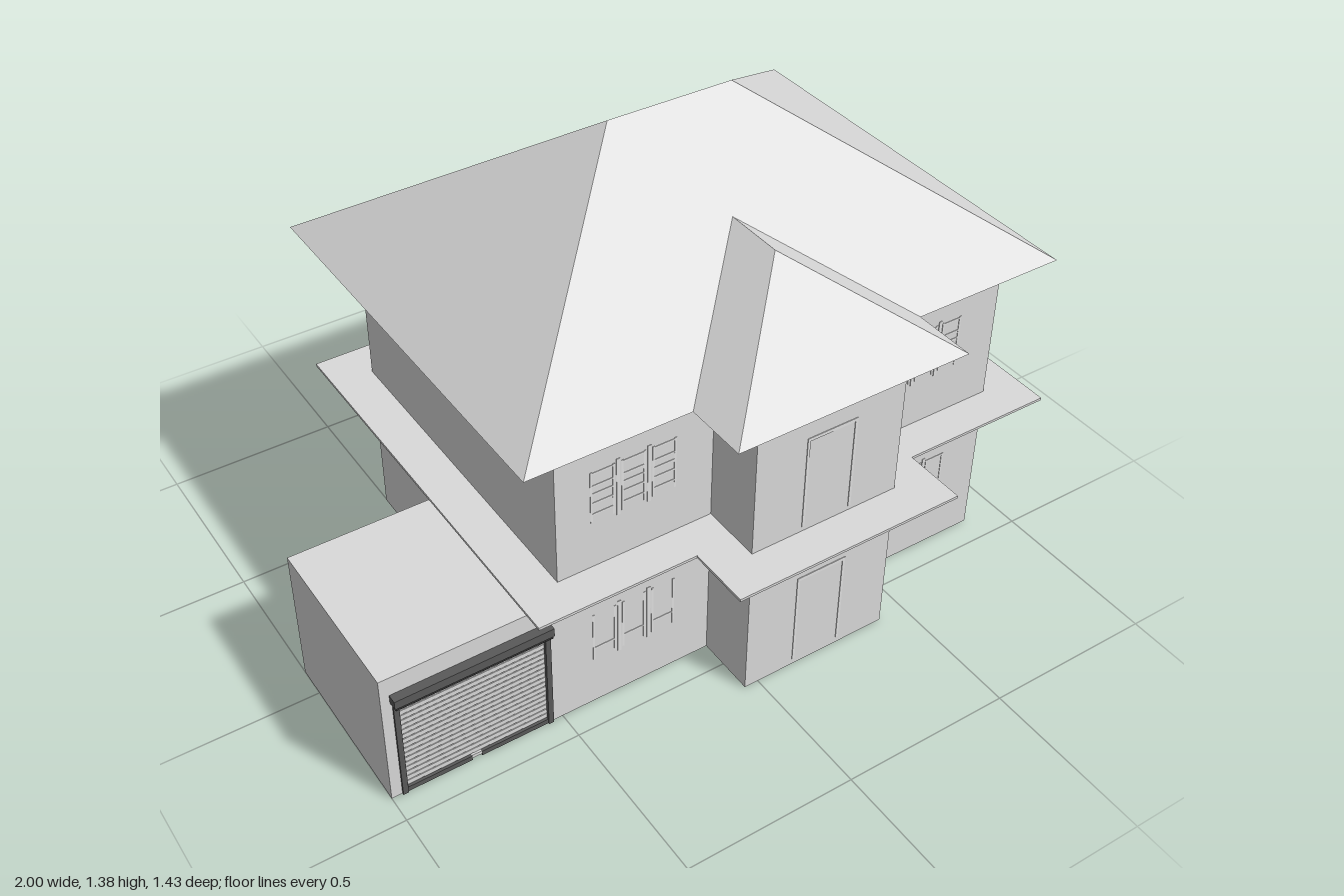
import * as THREE from 'three';

const mat = (name, color) => {
  const m = new THREE.MeshStandardMaterial({ color });
  m.name = name;
  return m;
};

export function createModel() {
  const house = new THREE.Group();
  house.name = 'house';
  const wall = mat('light grey plaster', 0xdadada);
  const joinery = mat('pale joinery', 0xe2e2e2);
  const frame = mat('dark grey frame', 0x5a5a5a);
  const black = mat('charcoal trim', 0x303030);

  const add = (parent, name, geometry, material) => {
    const mesh = new THREE.Mesh(geometry, material);
    mesh.name = name;
    parent.add(mesh);
    return mesh;
  };
  const group = (name) => {
    const g = new THREE.Group();
    g.name = name;
    house.add(g);
    return g;
  };
  // Box given by its lower and upper limits on each axis
  const box = (parent, name, [x0, x1], [y0, y1], [z0, z1], material) => {
    const mesh = add(parent, name, new THREE.BoxGeometry(x1 - x0, y1 - y0, z1 - z0), material);
    mesh.position.set((x0 + x1) / 2, (y0 + y1) / 2, (z0 + z1) / 2);
  };
  // T-shaped plan (rectangle with a front bay) raised from y0 to y1
  const plan = (name, [x0, x1], [z0, z1], [bx0, bx1], bz, [y0, y1]) => {
    const pts = [[x0, z0], [x0, z1], [bx0, z1], [bx0, bz], [bx1, bz], [bx1, z1], [x1, z1], [x1, z0]];
    const shape = new THREE.Shape(pts.map(([x, z]) => new THREE.Vector2(x, -z)));
    const g = new THREE.ExtrudeGeometry(shape, { depth: y1 - y0, bevelEnabled: false });
    g.rotateX(-Math.PI / 2).translate(0, y0, 0);
    add(house, name, g, wall);
  };
  // Flat-sided solid from polygon faces
  const solid = (name, faces) => {
    const pos = [];
    for (const f of faces)
      for (let i = 1; i < f.length - 1; i++) pos.push(...f[0], ...f[i], ...f[i + 1]);
    const g = new THREE.BufferGeometry();
    g.setAttribute('position', new THREE.Float32BufferAttribute(pos, 3));
    g.computeVertexNormals();
    add(house, name, g, wall);
  };

  // Two-storey walls and the ledge between the floors
  const eave = 0.953;
  plan('walls', [-0.502, 0.885], [-0.592, 0.42], [-0.042, 0.417], 0.6, [0, eave]);
  plan('ledge', [-0.62, 1], [-0.71, 0.53], [-0.16, 0.535], 0.715, [0.477, 0.485]);

  // Hipped main roof
  const A = [-0.64, eave, 0.525], B = [0.975, eave, 0.525];
  const E = [0.975, eave, -0.715], F = [-0.64, eave, -0.715];
  const C = [0.355, 1.385, -0.095], D = [-0.02, 1.385, -0.095];
  solid('mainRoof', [[A, B, C, D], [B, E, C], [E, F, D, C], [F, A, D], [A, F, E, B]]);

  // Smaller hipped roof over the bay
  const P = [-0.18, eave, 0.708], Q = [0.512, eave, 0.708], R = [0.166, 1.19, 0.362];
  const S = [0.512, eave, 0.525], T = [-0.18, eave, 0.525], V = [0.166, 1.19, 0.186];
  solid('bayRoof', [[P, Q, R], [Q, S, V, R], [R, V, T, P], [P, T, S, Q]]);

  // Window bars: three narrow casements with two tall posts between them
  const window = (name, x, y, z, width, rungs) => {
    const g = group(name);
    const depth = [z - 0.0015, z + 0.0015];
    const pitch = width / 3, pane = pitch * 0.72;
    for (let i = 0; i < 3; i++) {
      const left = x - width / 2 + i * pitch + (pitch - pane) / 2;
      for (const bx of [left, left + pane])
        box(g, 'casementBar', [bx - 0.003, bx + 0.003], [y - 0.08, y + 0.08], depth, joinery);
      for (const ry of rungs)
        box(g, 'rung', [left, left + pane], [y + ry - 0.0025, y + ry + 0.0025], depth, joinery);
      if (i < 2) {
        const px = x - width / 2 + (i + 1) * pitch;
        box(g, 'post', [px - 0.005, px + 0.005], [y - 0.09, y + 0.09], [z - 0.002, z + 0.002], joinery);
      }
    }
  };
  const ladder = [0.075, 0.035, 0.01, -0.02, -0.055];
  window('upperRightWindow', -0.278, 0.712, 0.42, 0.27, ladder);
  window('upperLeftWindow', 0.648, 0.715, 0.42, 0.24, ladder);
  window('lowerRightWindow', -0.278, 0.235, 0.42, 0.27, [-0.04]);
  window('lowerLeftWindow', 0.648, 0.24, 0.42, 0.24, [0.077]);
  for (const y of [0.235, 0.705]) {
    window('backWindow', -0.275, y, -0.592, 0.28, ladder);
    window('backWindow', 0.68, y, -0.592, 0.3, ladder);
  }

  // Door surrounds on the bay
  for (const [name, y0, top] of [['lowerDoor', 0.02, 0.317], ['upperDoor', 0.5, 0.79]]) {
    const g = group(name);
    const depth = [0.598, 0.602];
    box(g, 'lintel', [0.112, 0.268], [top - 0.01, top], depth, joinery);
    for (const x of [0.112, 0.26])
      box(g, 'jamb', [x, x + 0.008], [y0, top - 0.01], depth, joinery);
  }

  // Garage shell, open below and at the front
  const garage = group('garage');
  box(garage, 'garageRoof', [-1, -0.502], [0.36, 0.42], [-0.09, 0.42], wall);
  box(garage, 'garageBackWall', [-1, -0.502], [0, 0.36], [-0.09, 0.045], wall);
  box(garage, 'garageSideWall', [-1, -0.97], [0, 0.36], [0.045, 0.42], wall);
  box(garage, 'garageInnerPier', [-0.53, -0.502], [0, 0.36], [0.045, 0.42], wall);

  // Roller door with slats, guides, housing and bottom rail
  const door = group('rollerDoor');
  box(door, 'doorPanel', [-0.97, -0.53], [0, 0.36], [0.4, 0.406], wall);
  const slats = 18, step = 0.307 / slats;
  for (let i = 0; i < slats; i++) {
    const y = 0.015 + i * step;
    box(door, 'slat', [-0.955, -0.545], [y + 0.003, y + step], [0.406, 0.416], wall);
  }
  for (const x of [-0.97, -0.545])
    box(door, 'guide', [x, x + 0.015], [0, 0.325], [0.385, 0.426], frame);
  box(door, 'bottomRail', [-0.955, -0.77], [0, 0.015], [0.406, 0.422], frame);
  box(door, 'bottomRail', [-0.742, -0.545], [0, 0.015], [0.406, 0.422], frame);
  box(door, 'handle', [-0.77, -0.742], [0.004, 0.015], [0.406, 0.42], wall);
  box(door, 'housing', [-0.975, -0.53], [0.336, 0.362], [0.405, 0.447], frame);
  box(door, 'housingLip', [-0.97, -0.53], [0.322, 0.336], [0.405, 0.44], black);

  return house;
}
